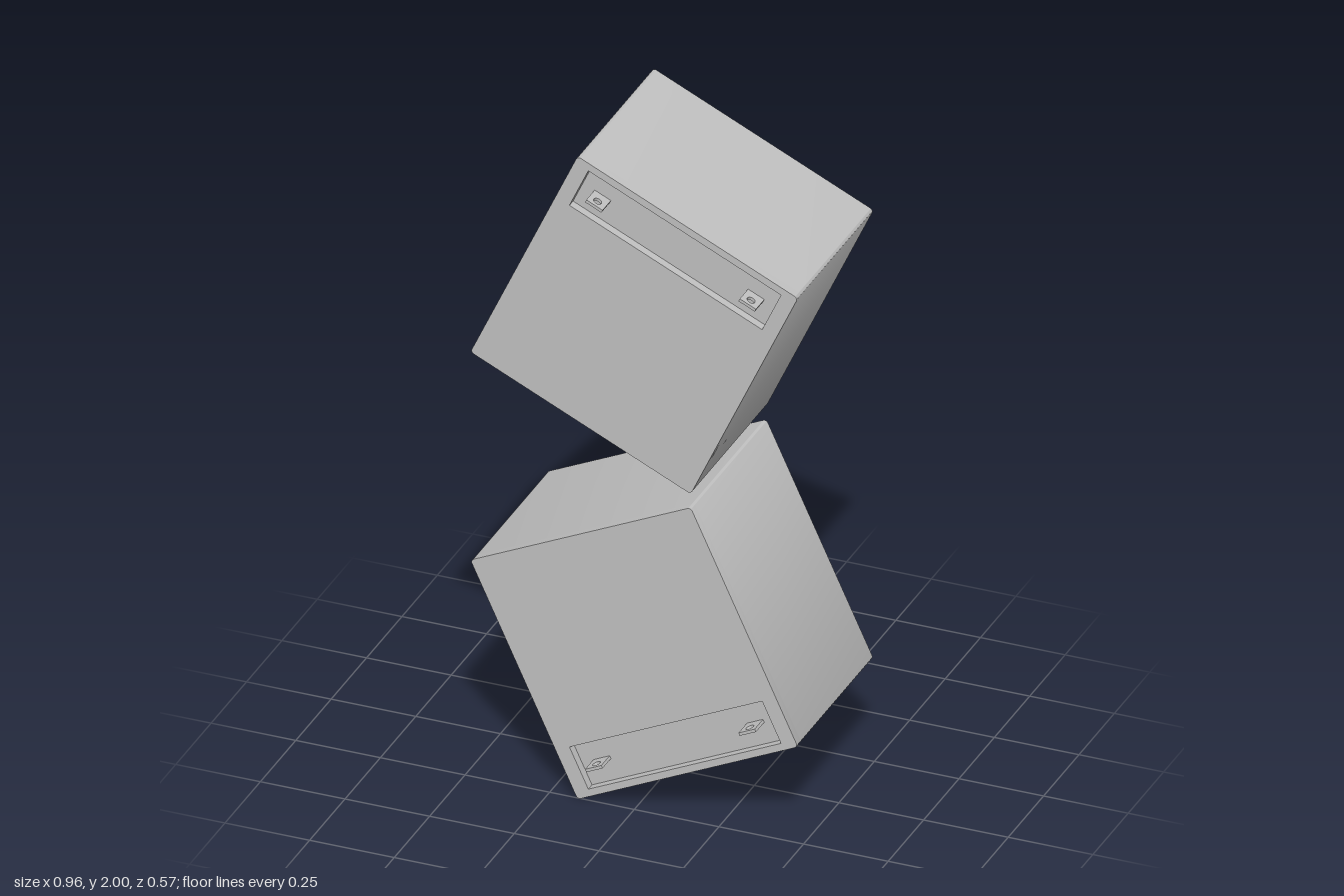
import * as THREE from 'three';
import { toCreasedNormals } from 'three/addons/utils/BufferGeometryUtils.js';

const W = 0.718, H = 0.749, CORNER = 0.011;
const BACK = -0.284, FLOOR = 0.225, FRONT = 0.251, TAB_END = 0.284;
const TILT = THREE.MathUtils.degToRad(25);

// Rectangle centred on x = 0, y = cy, with rounded corners
function roundedRect(w, h, r) {
  const s = new THREE.Shape();
  const x = w / 2 - r, y = h / 2 - r;
  s.absarc(x, y, r, 0, Math.PI / 2);
  s.absarc(-x, y, r, Math.PI / 2, Math.PI);
  s.absarc(-x, -y, r, Math.PI, Math.PI * 1.5);
  s.absarc(x, -y, r, Math.PI * 1.5, Math.PI * 2);
  s.closePath();
  return s;
}

function rectHole(w, h, cy) {
  const x = w / 2, y = h / 2;
  return new THREE.Path([[-x, -y], [-x, y], [x, y], [x, -y]]
    .map(([px, py]) => new THREE.Vector2(px, py + cy)));
}

// Extrude a shape along z from z0 to z1, keeping edges sharp
function slab(shape, z0, z1, curveSegments = 6) {
  const g = new THREE.ExtrudeGeometry(shape, { depth: z1 - z0, bevelEnabled: false, curveSegments });
  g.translate(0, 0, z0);
  return toCreasedNormals(g, 0.6);
}

// Thin plate standing out of the recess, pierced by a vertical round hole
function tabGeometry() {
  const w = 0.053, t = 0.009, holeZ = 0.261;
  const s = new THREE.Shape([
    new THREE.Vector2(-w / 2, FLOOR - 0.005), new THREE.Vector2(w / 2, FLOOR - 0.005),
    new THREE.Vector2(w / 2, TAB_END), new THREE.Vector2(-w / 2, TAB_END)]);
  s.holes.push(new THREE.Path().absarc(0, holeZ, 0.012, 0, Math.PI * 2, true));
  const g = slab(s, -t / 2, t / 2, 12);
  g.rotateX(Math.PI / 2);
  return g;
}

// One tilted block; side = 1 puts the recess at its top, -1 at its bottom
function makeBlock(name, side, material) {
  const block = new THREE.Group();
  block.name = name;
  const add = (part, geometry) => {
    const mesh = new THREE.Mesh(geometry, material);
    mesh.name = part;
    block.add(mesh);
    return mesh;
  };
  const recessY = 0.287 * side;

  add('body', slab(roundedRect(W, H, CORNER), BACK, FLOOR));

  // Front layer with the long shallow recess cut through it
  const frame = roundedRect(W, H, CORNER);
  frame.holes.push(rectHole(0.628, 0.132, recessY));
  add('recessedFront', slab(frame, FLOOR, FRONT));

  const tab = tabGeometry();
  for (const x of [-0.25, 0.25]) {
    add(x > 0 ? 'leftTab' : 'rightTab', tab).position.set(x, recessY, 0);
  }

  block.rotation.z = -side * TILT;
  block.position.y = 1 + side * 0.5125;
  return block;
}

export function createModel() {
  const grey = new THREE.MeshStandardMaterial({ color: 0xc0c0c0 });
  grey.name = 'light grey';
  const model = new THREE.Group();
  model.name = 'stackedBlocks';
  model.add(makeBlock('upperBlock', 1, grey), makeBlock('lowerBlock', -1, grey));
  return model;
}
